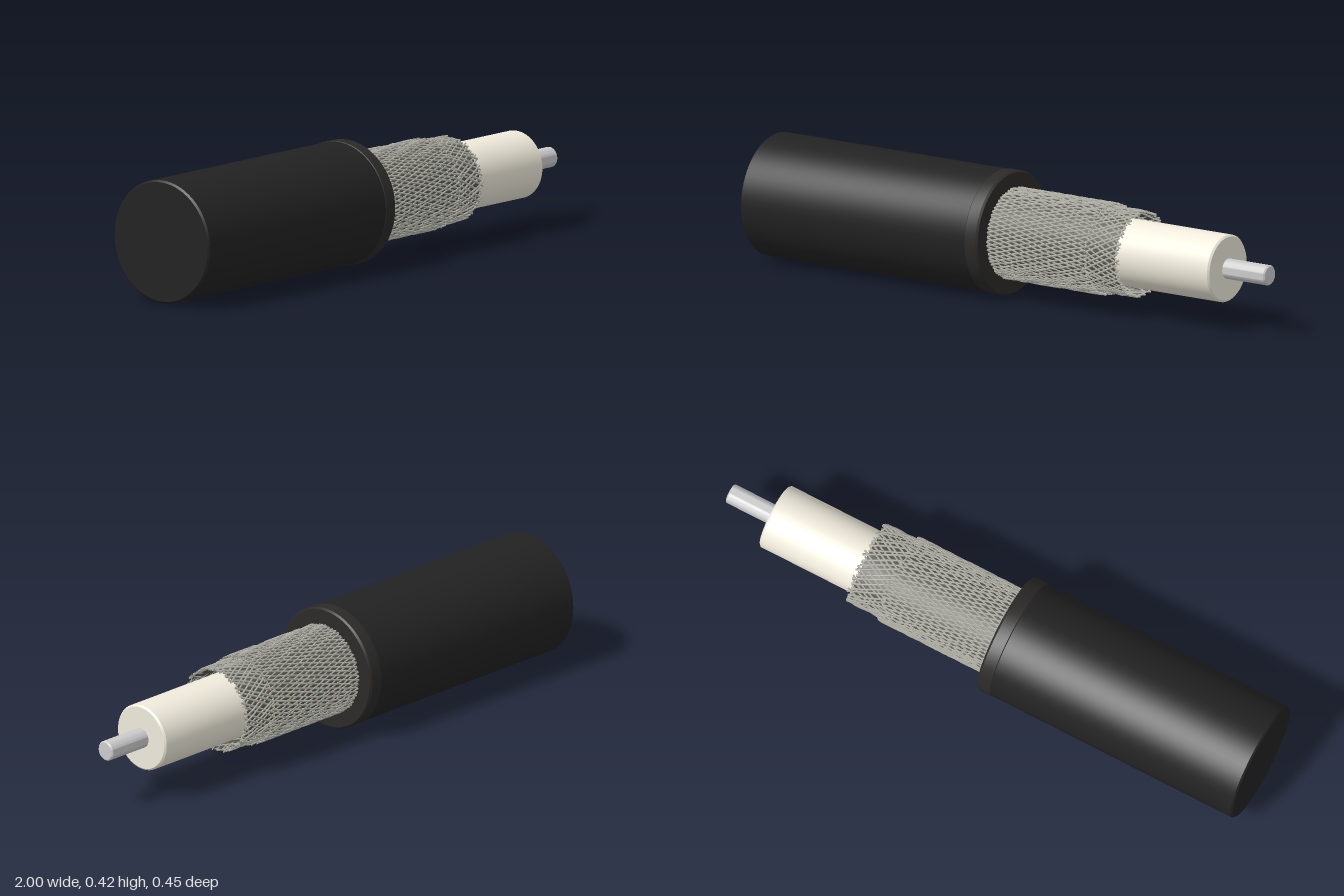
import * as THREE from 'three';
import { mergeGeometries, toCreasedNormals } from 'three/addons/utils/BufferGeometryUtils.js';

const mat = (color, side = THREE.FrontSide) => new THREE.MeshStandardMaterial({ color, side });

// Solid of revolution about the cable axis (x); profile = [axial position, radius]
function turned(name, profile, material) {
  const points = profile.map(([x, r]) => new THREE.Vector2(r, x));
  const geometry = new THREE.LatheGeometry(points, 64).rotateZ(-Math.PI / 2);
  const mesh = new THREE.Mesh(toCreasedNormals(geometry, 0.6), material);
  mesh.name = name;
  return mesh;
}

// Helical strands wound both ways, with slightly uneven cut ends
function braid(name, x0, x1, radius, count, turns, thickness, material) {
  const strands = [];
  for (const dir of [-1, 1]) {
    for (let i = 0; i < count; i++) {
      const points = [];
      const end = x1 - 0.012 * (0.5 + 0.5 * Math.sin(i * 2.4 + dir));
      const steps = 16;
      for (let k = 0; k <= steps; k++) {
        const t = k / steps;
        const x = x0 + (end - x0) * t;
        const a = (i / count + dir * turns * t) * Math.PI * 2;
        // over-and-under weave
        const r = radius + 0.0025 * Math.sin(k * Math.PI / 2 + i * Math.PI / 2 + dir * 0.8);
        points.push(new THREE.Vector3(x, r * Math.cos(a), r * Math.sin(a)));
      }
      strands.push(new THREE.TubeGeometry(new THREE.CatmullRomCurve3(points), 36, thickness, 4));
    }
  }
  const mesh = new THREE.Mesh(mergeGeometries(strands), material);
  mesh.name = name;
  return mesh;
}

export function createModel() {
  const model = new THREE.Group();
  const cable = new THREE.Group();
  cable.name = 'cable';
  model.add(cable);

  const black = mat(0x222222);
  const wire = mat(0xb4b4aa, THREE.DoubleSide);
  const shade = mat(0x55554f, THREE.DoubleSide);

  // Outer jacket and the cut collar at its open end
  cable.add(turned('jacket',
    [[-0.992, 0], [-0.992, 0.2], [-0.986, 0.206], [-0.085, 0.206], [-0.085, 0]], black));
  cable.add(turned('jacketCollar',
    [[-0.09, 0], [-0.09, 0.204], [-0.085, 0.208], [-0.043, 0.208], [-0.036, 0.203], [-0.036, 0]],
    mat(0x2b2a29)));

  // Braided shield: a short outer layer over a longer inner one, each on a thin sleeve
  cable.add(turned('outerShieldSleeve', [[-0.04, 0.149], [0.352, 0.149]], shade));
  cable.add(braid('outerBraid', -0.04, 0.368, 0.1505, 64, 0.12, 0.0032, wire));
  cable.add(turned('innerShieldSleeve', [[-0.04, 0.139], [0.472, 0.139]], shade));
  cable.add(braid('innerBraid', -0.04, 0.488, 0.1405, 48, 0.3, 0.0036, wire));

  // Insulating core
  cable.add(turned('insulator',
    [[-0.06, 0], [-0.06, 0.113], [0.824, 0.113], [0.83, 0.107], [0.83, 0]], mat(0xf0ebdc)));

  // Centre conductor
  cable.add(turned('conductor',
    [[0.8, 0], [0.8, 0.034], [0.994, 0.034], [0.9985, 0.03], [0.9995, 0]], mat(0xcccccc)));

  // The cable lies at a slight angle
  cable.rotation.y = -0.0437;
  cable.position.set(0, 0.208, 0.0195);
  return model;
}
